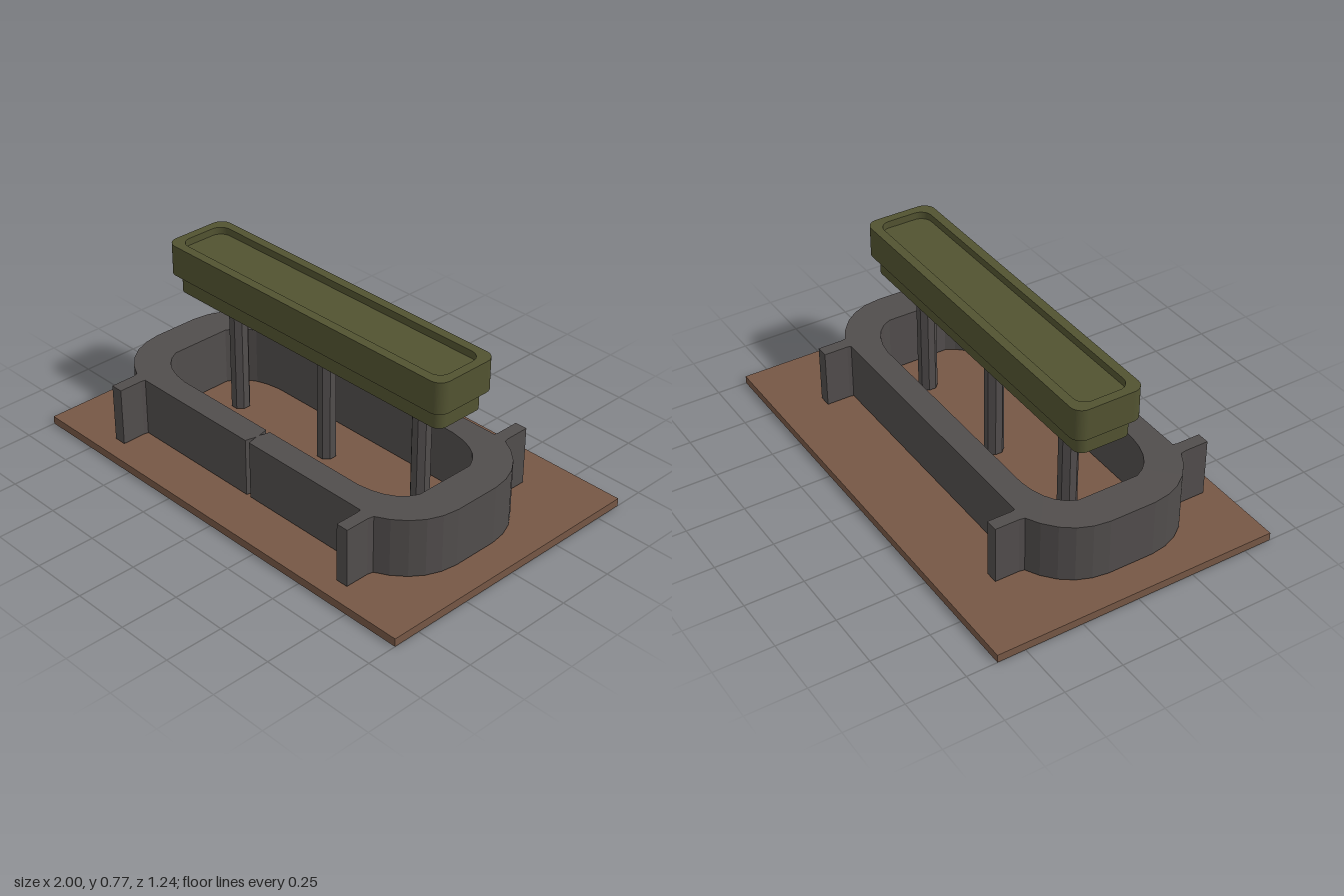
import * as THREE from 'three';

const mat = (name, color) => new THREE.MeshStandardMaterial({ name, color });

// Rounded oblong loop, mirrored from one corner curve: straight end (a), control (c), side end (b).
// A small V notch is cut into the middle of the front edge.
function oblong(target, a, c, b, notchDepth) {
  target.moveTo(-0.011, a[1]);
  target.lineTo(-a[0], a[1]);
  target.quadraticCurveTo(-c[0], c[1], -b[0], b[1]);
  target.lineTo(-b[0], -b[1]);
  target.quadraticCurveTo(-c[0], -c[1], -a[0], -a[1]);
  target.lineTo(a[0], -a[1]);
  target.quadraticCurveTo(c[0], -c[1], b[0], -b[1]);
  target.lineTo(b[0], b[1]);
  target.quadraticCurveTo(c[0], c[1], a[0], a[1]);
  target.lineTo(0.011, a[1]);
  target.lineTo(0, a[1] + notchDepth);
  target.closePath();
  return target;
}

// Rectangle with rounded corners
function roundedRect(target, w, d, r) {
  const x = w / 2, y = d / 2;
  target.moveTo(x, -y + r);
  target.lineTo(x, y - r);
  target.absarc(x - r, y - r, r, 0, Math.PI / 2);
  target.absarc(-x + r, y - r, r, Math.PI / 2, Math.PI);
  target.absarc(-x + r, -y + r, r, Math.PI, Math.PI * 1.5);
  target.absarc(x - r, -y + r, r, Math.PI * 1.5, Math.PI * 2);
  return target;
}

// Plan shape (x, z) extruded between two heights
function slab(shape, y0, y1, curveSegments = 8) {
  const g = new THREE.ExtrudeGeometry(shape, { depth: y1 - y0, bevelEnabled: false, curveSegments });
  g.rotateX(Math.PI / 2);
  g.translate(0, y1, 0);
  return g;
}

export function createModel() {
  const model = new THREE.Group();
  const brown = mat('brown ground', 0x765745);
  const grey = mat('dark grey', 0x514d4c);
  const green = mat('olive green', 0x525331);

  const add = (name, geometry, material, x = 0, y = 0, z = 0) => {
    const mesh = new THREE.Mesh(geometry, material);
    mesh.name = name;
    mesh.position.set(x, y, z);
    model.add(mesh);
  };

  // Ground plate
  add('groundPlate', new THREE.BoxGeometry(2, 0.035, 1.24), brown, 0, 0.0175, 0);

  // Ring wall with an open middle
  const ring = oblong(new THREE.Shape(), [0.67, 0.3625], [0.855, 0.28], [0.864, 0.1], -0.047);
  ring.holes.push(oblong(new THREE.Path(), [0.5, 0.255], [0.66, 0.24], [0.7, 0.135], 0.047));
  add('ringWall', slab(ring, 0.045, 0.298, 5), grey, 0, 0, 0.059);

  // Four buttress tabs on the ring
  for (const sx of [-1, 1]) for (const sz of [-1, 1]) {
    const tab = new THREE.Shape();
    tab.moveTo(-0.036, 0.335);
    tab.lineTo(0.036, 0.335);
    tab.lineTo(0.027, 0.38);
    tab.lineTo(0.027, 0.484);
    tab.lineTo(-0.027, 0.484);
    tab.lineTo(-0.027, 0.38);
    const g = slab(tab, 0.045, 0.298);
    if (sz < 0) g.rotateY(Math.PI);
    add('buttress', g, grey, sx * 0.65, 0, 0.06);
  }

  // Eight-sided posts
  for (const x of [-0.522, -0.001, 0.519]) {
    const g = new THREE.CylinderGeometry(0.0405, 0.0405, 0.515, 8).toNonIndexed();
    g.rotateY(Math.PI / 8);
    g.computeVertexNormals();
    add('post', g, grey, x, 0.3025, 0);
  }

  // Stepped tray: lower step, tray floor and raised rim
  const tx = -0.013, tz = 0.006;
  add('trayStep', slab(roundedRect(new THREE.Shape(), 1.465, 0.238, 0.04), 0.553, 0.636), green, tx, 0, tz);
  add('trayFloor', slab(roundedRect(new THREE.Shape(), 1.522, 0.298, 0.05), 0.636, 0.74), green, tx, 0, tz);
  const rim = roundedRect(new THREE.Shape(), 1.522, 0.298, 0.05);
  rim.holes.push(roundedRect(new THREE.Path(), 1.445, 0.22, 0.05));
  add('trayRim', slab(rim, 0.74, 0.771), green, tx, 0, tz);

  return model;
}
